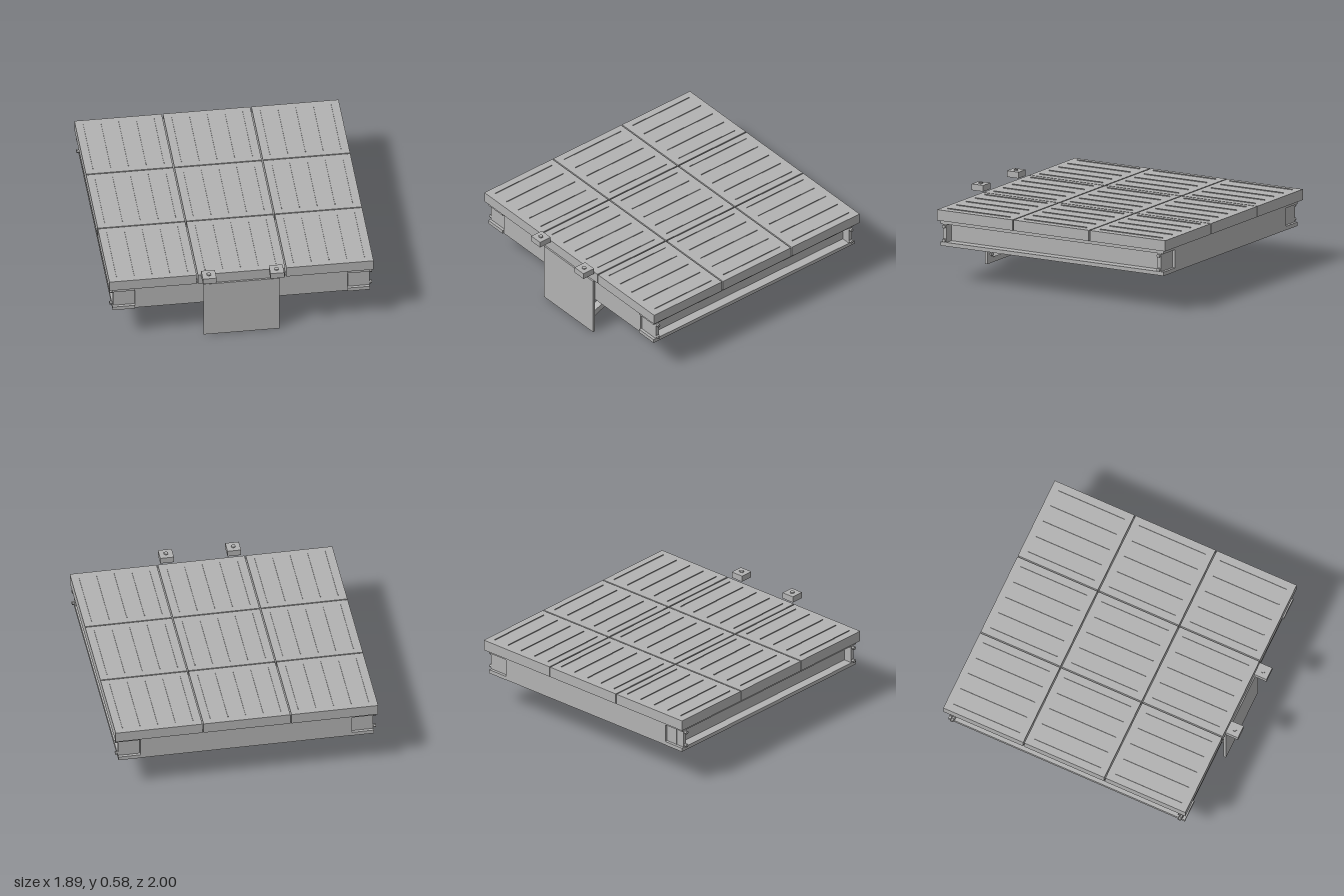
import * as THREE from 'three';

const concrete = new THREE.MeshStandardMaterial({ color: 0xb2b2b2 });
concrete.name = 'plain grey';

export function createModel() {
  const model = new THREE.Group();
  model.name = 'pavedPlatform';

  const add = (name, geometry, parent = model) => {
    const mesh = new THREE.Mesh(geometry, concrete);
    mesh.name = name;
    parent.add(mesh);
    return mesh;
  };
  // Box given by its limits on each axis
  const box = (name, x0, x1, y0, y1, z0, z1, parent = model) => {
    const mesh = add(name, new THREE.BoxGeometry(x1 - x0, y1 - y0, z1 - z0), parent);
    mesh.position.set((x0 + x1) / 2, (y0 + y1) / 2, (z0 + z1) / 2);
    return mesh;
  };
  // Hexagonal bolt head along a chosen axis
  const bolt = (name, axis, x, y, z, radius, length) => {
    const geometry = new THREE.CylinderGeometry(radius, radius, length, 6).toNonIndexed();
    geometry.computeVertexNormals();
    if (axis === 'x') geometry.rotateZ(Math.PI / 2);
    if (axis === 'z') geometry.rotateX(Math.PI / 2);
    add(name, geometry).position.set(x, y, z);
  };

  // Nine paving slabs, each with five thin ribs
  const pitch = 0.633, half = 0.312, midZ = -0.055;
  for (let i = -1; i <= 1; i++) {
    for (let j = -1; j <= 1; j++) {
      const slab = new THREE.Group();
      slab.name = 'slab';
      slab.position.set(i * pitch, 0, midZ + j * pitch);
      model.add(slab);
      box('slabBody', -half, half, 0.452, 0.53, -half, half, slab);
      for (let k = -2; k <= 2; k++) {
        const x = k * 0.127;
        box('slabRib', x - 0.002, x + 0.002, 0.53, 0.536, -0.26, 0.26, slab);
      }
    }
  }

  // Side I-beams with end plates and bolts
  const y0 = 0.265, y1 = 0.451, backZ = -0.972, frontZ = 0.875;
  for (const side of [-1, 1]) {
    const beam = new THREE.Group();
    beam.name = side > 0 ? 'leftBeam' : 'rightBeam';
    beam.position.x = side * 0.84;
    model.add(beam);
    box('bottomFlange', -0.08, 0.08, y0, 0.293, backZ, frontZ, beam);
    box('topFlange', -0.08, 0.08, 0.425, y1, backZ, frontZ, beam);
    box('web', -0.012, 0.012, 0.293, 0.425, backZ + 0.02, 0.85, beam);
    for (const z of [0.84, -0.937]) {
      box('endPlate', -0.075, 0.08, 0.293, 0.425, z - 0.014, z + 0.014, beam);
      for (const y of [0.308, 0.41]) bolt('cornerBolt', 'x', side * 0.929, y, z, 0.013, 0.02);
    }
  }

  // Front and back box beams
  box('frontBeam', -0.76, 0.76, y0, y1, 0.705, 0.865);
  box('backBeam', -0.76, 0.76, y0, y1, -0.97, -0.817);

  // Front mounting plate with bolts on its rear
  box('mountingPlate', -0.272, 0.272, 0, 0.448, 0.88, 0.898);
  for (const x of [-0.22, 0, 0.22]) {
    for (const y of [0.065, 0.21]) bolt('plateBolt', 'z', x, y, 0.875, 0.015, 0.014);
  }

  // Cross block and the two sloping braces that reach it
  box('crossBlock', -0.245, 0.245, 0.268, y1, 0.18, 0.32);
  const profile = new THREE.Shape([
    [0.88, 0.038], [0.88, 0.083], [0.3, 0.332], [0.3, 0.277],
  ].map(([z, y]) => new THREE.Vector2(z, y)));
  for (const side of [-1, 1]) {
    const geometry = new THREE.ExtrudeGeometry(profile, { depth: 0.055, bevelEnabled: false });
    geometry.translate(0, 0, -0.0275).rotateY(-Math.PI / 2);
    add('brace', geometry).position.x = side * 0.17;
  }

  // Small clamp blocks in front of the top edge
  for (const side of [-1, 1]) {
    const x = side * 0.242;
    box('clampBlock', x - 0.049, x + 0.049, 0.529, 0.574, 0.903, 1);
    bolt('clampBolt', 'y', x, 0.577, 0.952, 0.017, 0.008);
  }

  return model;
}
